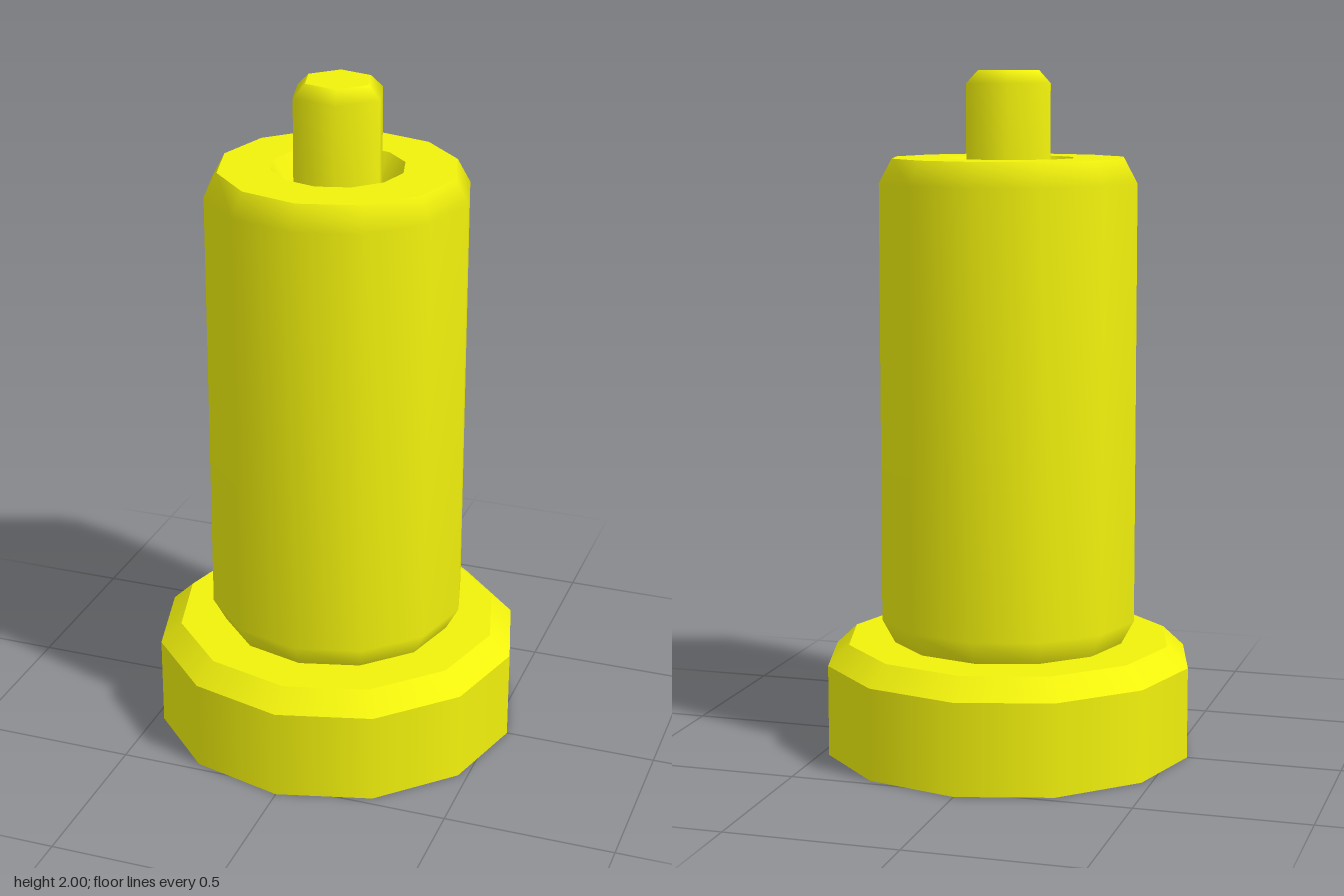
import * as THREE from 'three';
import { mergeGeometries } from 'three/addons/utils/BufferGeometryUtils.js';

const material = new THREE.MeshStandardMaterial({ color: 0xf2f20d });

// Revolves each [radius, y] band separately: smooth within a band, sharp between bands.
function turned(name, sides, startAngle, bands) {
  const parts = bands.map((band) => new THREE.LatheGeometry(
    band.map(([r, y]) => new THREE.Vector2(r, y)), sides, startAngle));
  const mesh = new THREE.Mesh(mergeGeometries(parts), material);
  mesh.name = name;
  return mesh;
}

export function createModel() {
  const group = new THREE.Group();
  group.name = 'plungerPin';

  // Wide foot with a chamfered upper rim
  group.add(turned('base', 12, 0, [
    [[0, 0], [0.546, 0]],
    [[0.546, 0], [0.546, 0.27]],
    [[0.546, 0.27], [0.483, 0.33]],
    [[0.483, 0.33], [0, 0.33]],
  ]));

  // Barrel with soft chamfers and a tapered recess in its top
  group.add(turned('barrel', 12, 0, [
    [[0.345, 0.33], [0.383, 0.4], [0.383, 1.68], [0.345, 1.75]],
    [[0.345, 1.75], [0.193, 1.75]],
    [[0.193, 1.75], [0.1, 1.58]],
    [[0.1, 1.58], [0, 1.58]],
  ]));

  // Six-sided pin rising out of the recess
  group.add(turned('pin', 6, Math.PI / 12, [
    [[0.139, 1.56], [0.139, 1.963], [0.101, 2]],
    [[0.101, 2], [0, 2]],
  ]));

  return group;
}
